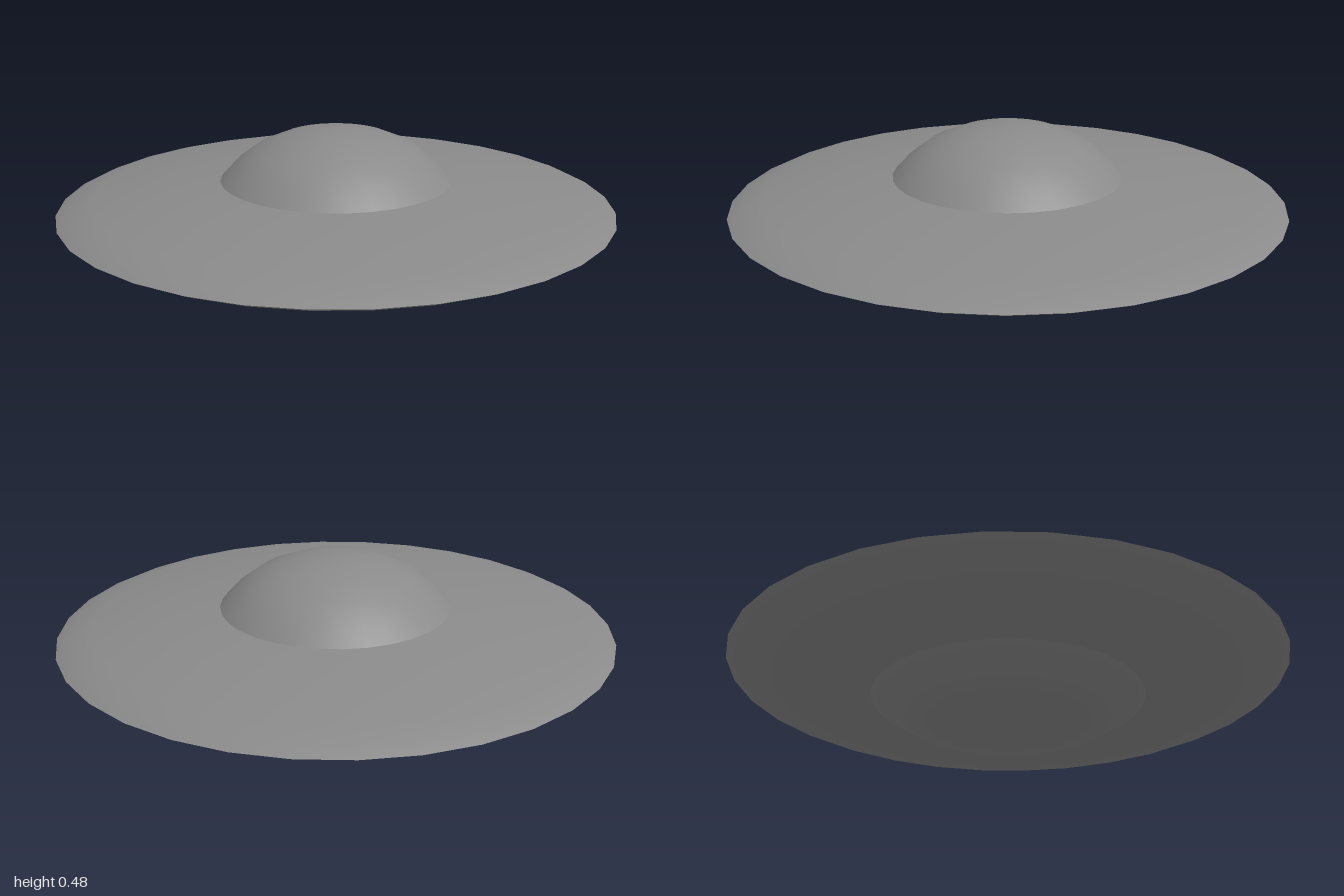
import * as THREE from 'three';

const SIDES = 32;

// Smooth turned part from a profile of [radius, height] points, bottom to top
function turned(name, profile) {
  const points = profile.map(([r, y]) => new THREE.Vector2(r, y));
  const material = new THREE.MeshStandardMaterial({ color: 0x8a8a8a, side: THREE.DoubleSide });
  const mesh = new THREE.Mesh(new THREE.LatheGeometry(points, SIDES), material);
  mesh.name = name;
  return mesh;
}

export function createModel() {
  const saucer = new THREE.Group();
  saucer.name = 'flyingSaucer';

  // Base: shallow dimple, flat ring and sloping skirt
  saucer.add(turned('base', [
    [0, 0.034], [0.02, 0.034], [0.1, 0.02], [0.19, 0.004], [0.28, 0], [0.37, 0.014], [0.49, 0.09],
  ]));

  // Lower disc, from the skirt out to the sharp rim
  saucer.add(turned('lowerHull', [
    [0.49, 0.09], [0.63, 0.108], [0.87, 0.145], [0.95, 0.168], [1, 0.192],
  ]));

  // Upper disc, from the rim to the foot of the dome
  saucer.add(turned('upperHull', [
    [1, 0.192], [0.96, 0.212], [0.87, 0.238], [0.63, 0.278], [0.415, 0.298],
  ]));

  // Cockpit dome with a flat crown
  saucer.add(turned('dome', [
    [0.415, 0.298], [0.36, 0.357], [0.285, 0.413], [0.195, 0.452], [0.1, 0.475], [0.02, 0.48], [0, 0.48],
  ]));

  return saucer;
}
